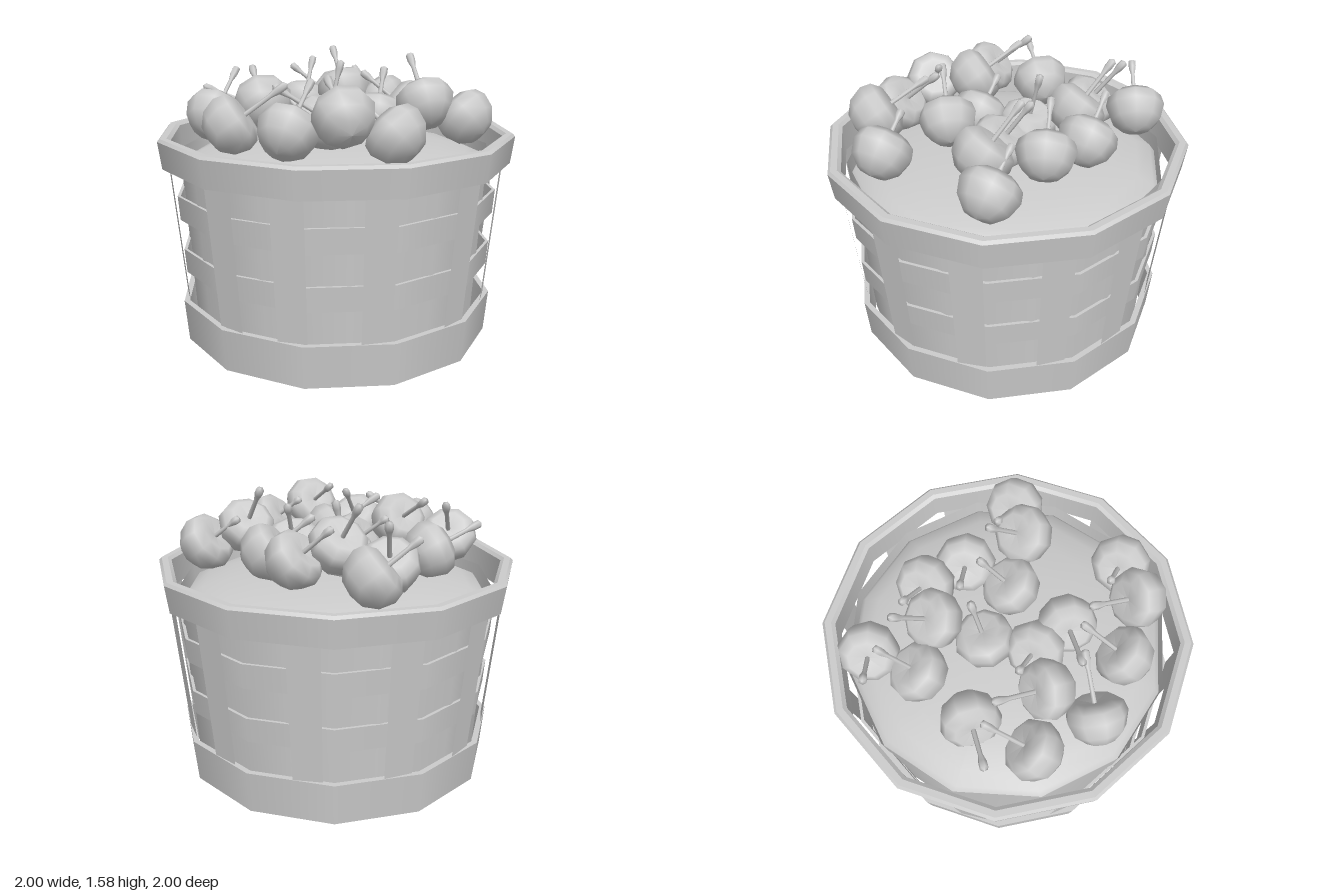
import * as THREE from 'three';
import { mergeGeometries } from 'three/addons/utils/BufferGeometryUtils.js';

const SIDES = 12;
const V2 = (x, y) => new THREE.Vector2(x, y);
const V3 = (x, y, z) => new THREE.Vector3(x, y, z);

// Turned ring: smooth around, crisp at each profile corner
function ring(profile, phi = 0) {
  const parts = [];
  for (let i = 0; i < profile.length - 1; i++) {
    parts.push(new THREE.LatheGeometry([V2(...profile[i]), V2(...profile[i + 1])], SIDES, phi));
  }
  return mergeGeometries(parts);
}

export function createModel() {
  const group = new THREE.Group();
  const mat = new THREE.MeshStandardMaterial({ color: 0xcccccc, side: THREE.DoubleSide });
  const add = (name, geometry, parent = group) => {
    const mesh = new THREE.Mesh(geometry, mat);
    mesh.name = name;
    parent.add(mesh);
    return mesh;
  };

  // Hoops: top rim, base and two thin bands
  add('topRim', ring([[0.98, 1.0], [1.0, 1.15], [0.985, 1.165], [0.95, 1.165], [0.93, 1.15], [0.925, 1.0], [0.98, 1.0]]));
  add('baseHoop', ring([[0.88, 0], [0.9, 0.235], [0.868, 0.235], [0.85, 0], [0.88, 0]]));
  for (const [y, r] of [[0.405, 0.875], [0.71, 0.897]]) {
    add('band', ring([[r, y], [r + 0.01, y + 0.135], [r - 0.007, y + 0.135], [r - 0.017, y], [r, y]]));
  }

  // Inner tub with its floor
  const half = Math.PI / SIDES;
  add('innerTub', ring([[0, 0.32], [0.83, 0.32], [0.815, 0], [0.88, 1.06]], half));

  // Domed filling
  const dome = [];
  for (let i = 0; i <= 6; i++) {
    const a = (i / 6) * Math.PI / 2;
    dome.push(V2(0.873 * Math.cos(a), 0.97 + 0.16 * Math.sin(a)));
  }
  add('filling', new THREE.LatheGeometry(dome, SIDES, half));

  // Upright slats, spaced a little unevenly and leaning outward
  const slatAngles = [2, 26, 54, 86, 114, 142, 168, 201, 232, 261, 290, 326];
  const slat = new THREE.PlaneGeometry(0.165, 1.08);
  const sp = slat.attributes.position;
  for (let i = 0; i < sp.count; i++) {
    const up = sp.getY(i) > 0;
    sp.setXYZ(i, sp.getX(i) * (up ? 1.05 : 0.92), up ? 1.12 : 0.04, up ? 0.945 : 0.845);
  }
  slat.computeVertexNormals();
  for (const a of slatAngles) add('slat', slat).rotation.y = THREE.MathUtils.degToRad(a);

  // Cherries: round-bottomed fruit with a flat, dimpled top, plus a knobbed stem
  const fruit = new THREE.LatheGeometry([
    V2(0, -0.14), V2(0.08, -0.125), V2(0.138, -0.07), V2(0.163, 0.01),
    V2(0.148, 0.065), V2(0.1, 0.1), V2(0, 0.075)], 9);
  const stem = new THREE.LatheGeometry([
    V2(0.013, 0), V2(0.012, 0.62), V2(0.022, 0.8), V2(0.022, 0.95), V2(0, 1)], 6);

  const UP = V3(0, 1, 0);
  function cherry(center, tip) {
    const c = V3(...center), t = V3(...tip);
    const g = new THREE.Group();
    g.name = 'cherry';
    g.position.copy(c);
    g.quaternion.setFromUnitVectors(UP, t.clone().sub(c).normalize());
    add('fruit', fruit, g);
    const s = add('stem', stem, g);
    s.position.y = 0.075;
    s.scale.y = t.distanceTo(c) - 0.075;
    group.add(g);
  }

  // Each entry: fruit centre, stem tip; back cluster then front cluster
  const cherries = [
    [[-0.51, 1.26, -0.52], [-0.70, 1.45, -0.38]],
    [[-0.46, 1.24, -0.24], [-0.54, 1.51, -0.42]],
    [[-0.20, 1.33, -0.32], [-0.39, 1.58, -0.43]],
    [[-0.04, 1.27, -0.49], [-0.26, 1.46, -0.47]],
    [[0.19, 1.26, -0.39], [-0.03, 1.46, -0.27]],
    [[0.21, 1.24, -0.11], [0.14, 1.50, -0.27]],
    [[0.47, 1.33, -0.20], [0.28, 1.58, -0.31]],
    [[0.63, 1.25, -0.36], [0.41, 1.41, -0.34]],
    [[-0.11, 1.20, -0.07], [-0.09, 1.53, -0.16]],
    [[-0.52, 1.25, 0.12], [-0.72, 1.38, 0.35]],
    [[-0.48, 1.25, 0.48], [-0.56, 1.49, 0.22]],
    [[-0.20, 1.33, 0.37], [-0.45, 1.50, 0.21]],
    [[-0.01, 1.22, 0.19], [-0.22, 1.38, 0.21]],
    [[0.19, 1.25, 0.25], [-0.03, 1.45, 0.47]],
    [[0.20, 1.25, 0.60], [0.14, 1.48, 0.35]],
    [[0.48, 1.34, 0.50], [0.23, 1.50, 0.34]],
    [[0.65, 1.25, 0.31], [0.45, 1.40, 0.34]],
    [[-0.16, 1.25, 0.65], [0.04, 1.46, 0.43]],
  ];
  for (const [c, t] of cherries) cherry(c, t);

  return group;
}
